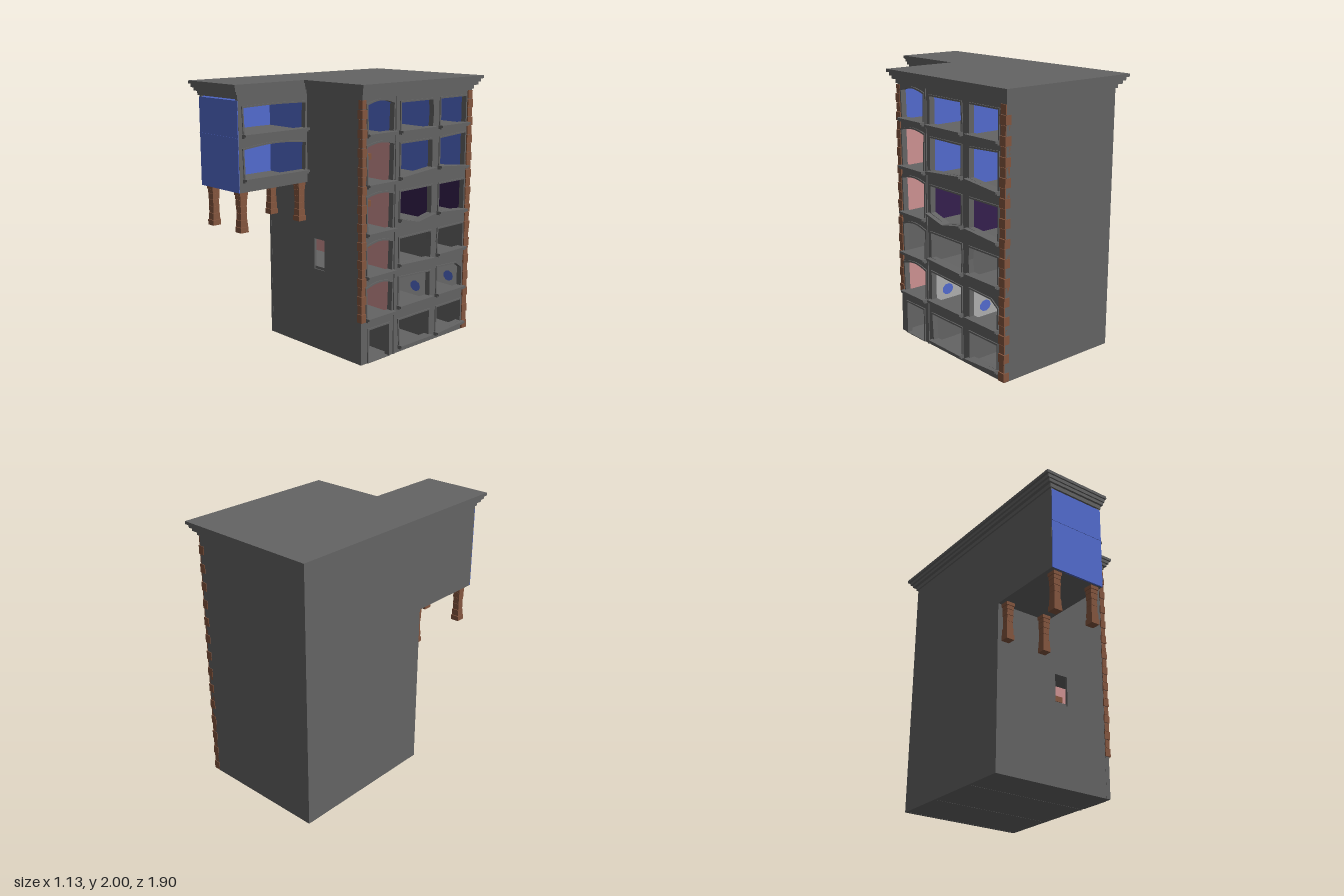
import * as THREE from 'three';

const mat = (name, color, side = THREE.FrontSide) => {
  const m = new THREE.MeshStandardMaterial({ color, side });
  m.name = name;
  return m;
};

export function createModel() {
  const root = new THREE.Group();
  root.name = 'building';
  const M = {
    grey: mat('stone grey', 0x646464),
    blue: mat('wall blue', 0x536cd0),
    pink: mat('wall pink', 0xd09393),
    brown: mat('brick brown', 0x85563f),
    purple: mat('wall purple', 0x35204f),
    pale: mat('pale wall', 0xb0b0b0),
    gold: mat('speck gold', 0xa87a4a),
  };

  const add = (name, geo, m, parent = root) => {
    const mesh = new THREE.Mesh(geo, m);
    mesh.name = name;
    parent.add(mesh);
    return mesh;
  };
  // box from its limits
  const box = (name, m, x0, x1, y0, y1, z0, z1, parent) => {
    const g = new THREE.BoxGeometry(x1 - x0, y1 - y0, z1 - z0);
    g.translate((x0 + x1) / 2, (y0 + y1) / 2, (z0 + z1) / 2);
    return add(name, g, m, parent);
  };
  const path = (pts, C = THREE.Shape) => new C(pts.map(p => new THREE.Vector2(p[0], p[1])));
  const rect = (a, b, c, d) => [[a, c], [b, c], [b, d], [a, d]];
  // plate with holes facing +x; u runs along -z
  const sidePlate = (name, outline, holes, x0, x1) => {
    const s = path(outline);
    s.holes = holes.map(h => path(h, THREE.Path));
    const g = new THREE.ExtrudeGeometry(s, { depth: x1 - x0, bevelEnabled: false });
    g.rotateY(Math.PI / 2).translate(x0, 0, 0);
    return add(name, g, M.grey);
  };
  const arch = (a, b, y0, y1, rise) => {
    const pts = [[a + 0.008, y0], [b - 0.008, y0]];
    for (let i = 0; i <= 8; i++) {
      const t = i / 8;
      pts.push([b + (a - b) * t, y1 - rise + rise * Math.sin(Math.PI * t)]);
    }
    return pts;
  };

  // window outlines on the +x face, floor by floor
  const A = [-0.24, 0.02], B = [0.095, 0.43], C = [0.52, 0.806];
  const windows = [
    rect(-0.215, -0.01, 0.006, 0.25),
    arch(...A, 0.345, 0.585, 0.025),
    arch(...A, 0.655, 0.89, 0.025),
    arch(...A, 0.965, 1.235, 0.02),
    arch(...A, 1.31, 1.59, 0.02),
    arch(...A, 1.66, 1.88, 0.025),
    [[0.11, 0.055], [0.43, 0.055], [0.43, 0.25], [0.095, 0.25]],
    [[0.095, 0.366], [0.43, 0.366], [0.43, 0.557], [0.095, 0.575]],
    [[0.095, 0.685], [0.43, 0.668], [0.437, 0.8], [0.43, 0.87], [0.095, 0.87]],
    [[0.095, 1.02], [0.26, 0.975], [0.43, 1.01], [0.43, 1.215], [0.095, 1.215]],
    [[0.095, 1.325], [0.43, 1.355], [0.43, 1.56], [0.095, 1.56]],
    [[0.095, 1.655], [0.43, 1.655], [0.437, 1.75], [0.43, 1.85], [0.095, 1.85]],
    [[0.52, 0.055], [0.806, 0.075], [0.806, 0.25], [0.52, 0.25]],
    [[0.52, 0.366], [0.806, 0.366], [0.806, 0.515], [0.74, 0.56], [0.52, 0.57]],
    [[0.52, 0.685], [0.806, 0.685], [0.806, 0.87], [0.52, 0.87], [0.512, 0.78]],
    [[0.52, 1.01], [0.806, 0.985], [0.806, 1.215], [0.52, 1.215]],
    [[0.52, 1.355], [0.806, 1.325], [0.806, 1.575], [0.52, 1.56]],
    rect(...C, 1.655, 1.85),
  ];
  const annexWindows = [arch(-0.865, -0.31, 1.355, 1.575, 0.02), arch(-0.865, -0.31, 1.66, 1.845, 0.006)];

  sidePlate('facade', rect(-0.29, 0.88, 0, 1.92), windows, 0.465, 0.5);
  sidePlate('annexFacade', rect(-0.905, -0.29, 1.26, 1.92), annexWindows, -0.09, -0.06);

  // raised trim and a sill following each lower edge
  const dress = (w, x, sill) => {
    const us = w.map(p => p[0]), ys = w.map(p => p[1]);
    const a = Math.min(...us), b = Math.max(...us), c = Math.min(...ys), d = Math.max(...ys);
    const cu = (a + b) / 2, cy = (c + d) / 2, ku = 1 + 0.024 / (b - a), ky = 1 + 0.024 / (d - c);
    sidePlate('windowTrim', w.map(p => [cu + (p[0] - cu) * ku, Math.max(0.001, cy + (p[1] - cy) * ky)]), [w], x - 0.005, x + 0.008);
    if (!sill) return;
    const low = w.slice(0, w.length === 5 && w[1][0] < 0.3 && w[1][0] > 0.2 ? 3 : 2).map(p => [...p]);
    low[0][0] -= 0.018;
    low[low.length - 1][0] += 0.018;
    const ledge = (drop, h, out) => sidePlate('windowSill',
      [...low.map(p => [p[0], p[1] - drop - h]), ...[...low].reverse().map(p => [p[0], p[1] - drop])], [], x - 0.01, x + out);
    ledge(0, 0.016, 0.042);
    ledge(0.016, 0.012, 0.028);
  };
  windows.forEach((w, i) => dress(w, 0.5, i > 0));
  annexWindows.forEach(w => dress(w, -0.06, true));

  // plain outer walls
  box('leftWall', M.grey, -0.5, -0.48, 0, 1.92, -0.88, 0.29);
  box('backWall', M.grey, -0.5, 0.499, 0, 1.92, -0.88, -0.86);
  const front = path(rect(-0.499, 0.499, 0, 1.92));
  front.holes.push(path(rect(0.01, 0.12, 0.62, 0.85), THREE.Path));
  const frontGeo = new THREE.ExtrudeGeometry(front, { depth: 0.02, bevelEnabled: false });
  add('frontWall', frontGeo.translate(0, 0, 0.269), M.grey);
  box('drainStrip', M.grey, 0.49, 0.508, 0, 1.9, -0.05, -0.038);

  // floors, dividing walls and room linings
  const levels = [0, 0.32, 0.635, 0.945, 1.29, 1.635, 1.9];
  levels.forEach((y, i) => box('floorSlab', M.grey, -0.49, 0.48, i ? y - 0.015 : 0.001, y + 0.005, -0.87, 0.28));
  box('stairDivider', M.grey, -0.49, 0.48, 0, 1.9, -0.06, -0.03);
  box('roomDivider', M.grey, -0.49, 0.48, 0, 1.9, -0.485, -0.465);
  const lining = (m, x0, x1, y0, y1, z0, z1, skipFront) => {
    box('backLining', m, x0, x0 + 0.006, y0, y1, z0, z1);
    box('sideLining', m, x0, x1, y0, y1, z0, z0 + 0.006);
    if (!skipFront) box('sideLining', m, x0, x1, y0, y1, z1 - 0.006, z1);
  };
  const roomColour = [null, M.pale, null, M.purple, M.blue, M.blue];
  for (let f = 0; f < 6; f++) {
    const y0 = levels[f] + 0.004, y1 = levels[f + 1] - 0.014;
    const stair = f === 0 ? M.grey : f === 5 ? M.blue : M.pink;
    lining(stair, -0.48, 0.465, y0, y1, -0.03, 0.269, f === 2);
    if (f < 5) box('innerDoor', stair, -0.474, -0.468, y0, y0 + 0.175, 0.05, 0.155);
    if (f > 0 && f < 5) {
      box('cornerStrip', f === 4 ? M.blue : M.grey, -0.474, -0.468, y0, y1, 0.205, 0.263);
      box('wallShelf', M.brown, 0.2, 0.28, y0 + 0.135, y0 + 0.18, -0.024, 0.037);
    }
    if (roomColour[f]) {
      lining(roomColour[f], -0.48, 0.465, y0, y1, -0.465, -0.06);
      lining(roomColour[f], -0.48, 0.465, y0, y1, -0.86, -0.485);
    }
  }
  box('passageDoor', M.grey, -0.02, 0.15, 0.64, 0.86, -0.024, -0.02);

  // painted patches on the pale rooms
  const patch = (m, r, sx, sy, x, y, z, turn) => {
    const p = add('wallPatch', new THREE.CircleGeometry(r, 9), m);
    p.scale.set(sx, sy, 1);
    p.position.set(x, y, z);
    p.rotation.y = turn;
  };
  [0.1, 0.21, 0.38, 0.6, 0.73, 0.82].forEach(u => patch(M.blue, 0.05, 0.9, 0.8, -0.472, 0.55, -u, Math.PI / 2));
  [0.23, 0.38, 0.54, 0.65, 0.78].forEach(u => patch(M.blue, 0.05, 1.1, 0.85, -0.472, 0.375, -u, Math.PI / 2));
  for (let i = 0; i < 5; i++) {
    const x = -0.34 + i * 0.17, y = i % 2 ? 0.54 : 0.4;
    for (const z of [-0.457, -0.852]) patch(M.blue, 0.05, 1, 0.85, x, y, z, 0);
    for (const z of [-0.068, -0.493]) patch(M.blue, 0.05, 1, 0.85, x, y, z, Math.PI);
  }
  // small specks on the dark rooms
  for (let r = 0; r < 4; r++) for (let i = 0; i < 9; i++) {
    const u = 0.12 + i * 0.085 + (r % 2) * 0.04;
    if (u > 0.84 || Math.abs(u - 0.475) < 0.03) continue;
    const y = 1.01 + r * 0.052;
    box('wallSpeck', M.gold, -0.474, -0.47, y, y + 0.006, -u - 0.006, -u + 0.006);
  }

  // annex hanging off the front
  box('annexLeftWall', M.grey, -0.5, -0.48, 1.26, 1.92, 0.28, 0.905);
  box('annexBase', M.grey, -0.499, -0.065, 1.26, 1.29, 0.28, 0.904);
  box('annexSlab', M.grey, -0.49, -0.07, 1.62, 1.64, 0.28, 0.9);
  box('annexEndWall', M.blue, -0.499, -0.061, 1.26, 1.89, 0.89, 0.91);
  box('annexBand', M.blue, -0.499, -0.061, 1.631, 1.637, 0.909, 0.913);
  box('annexBackLining', M.blue, -0.48, -0.474, 1.29, 1.9, 0.289, 0.89);
  box('annexInnerLining', M.blue, -0.48, -0.09, 1.29, 1.9, 0.289, 0.295);

  // stepped cornice around the L-shaped roof
  [[1.9, 1.93, 0.012], [1.93, 1.953, 0.035], [1.953, 1.978, 0.05], [1.978, 2, 0.066]].forEach(([y0, y1, o]) => {
    const i = o * 0.45, z = 0.29 + o * 0.75, e = 0.905 + o * 0.7;
    const s = path([[-0.5 - o, -e], [-0.06 + i, -e], [-0.06 + i, -z], [0.5 + o * 0.9, -z], [0.5 + o * 0.9, 0.88 + o], [-0.5 - o, 0.88 + o]]);
    const g = new THREE.ExtrudeGeometry(s, { depth: y1 - y0, bevelEnabled: false });
    add('cornice', g.rotateX(-Math.PI / 2).translate(0, y0, 0), M.grey);
  });

  // brick corner columns with alternating blocks
  const quoins = (y0, z0, z1, n) => {
    const h = (1.895 - y0) / n;
    for (let k = 0; k < n; k++) {
      const d = k % 2 ? 0.004 : 0;
      box('cornerBrick', M.brown, 0.464 + d, 0.512 - d, y0 + k * h, y0 + (k + 1) * h - 0.004, z0 + d, z1 - d);
    }
  };
  quoins(0.32, 0.252, 0.298, 24);
  quoins(0.005, -0.884, -0.826, 28);

  // brick legs below the annex
  for (const x of [-0.437, -0.115]) for (const z of [0.853, 0.323]) {
    [[0.97, 1.01, 0.033], [1.01, 1.06, 0.029], [1.06, 1.11, 0.026], [1.11, 1.16, 0.026], [1.16, 1.205, 0.028], [1.205, 1.235, 0.03], [1.235, 1.262, 0.034]]
      .forEach(([a, b, w]) => box('annexLeg', M.brown, x - w, x + w, a, b - 0.002, z - w, z + w));
  }
  return root;
}
